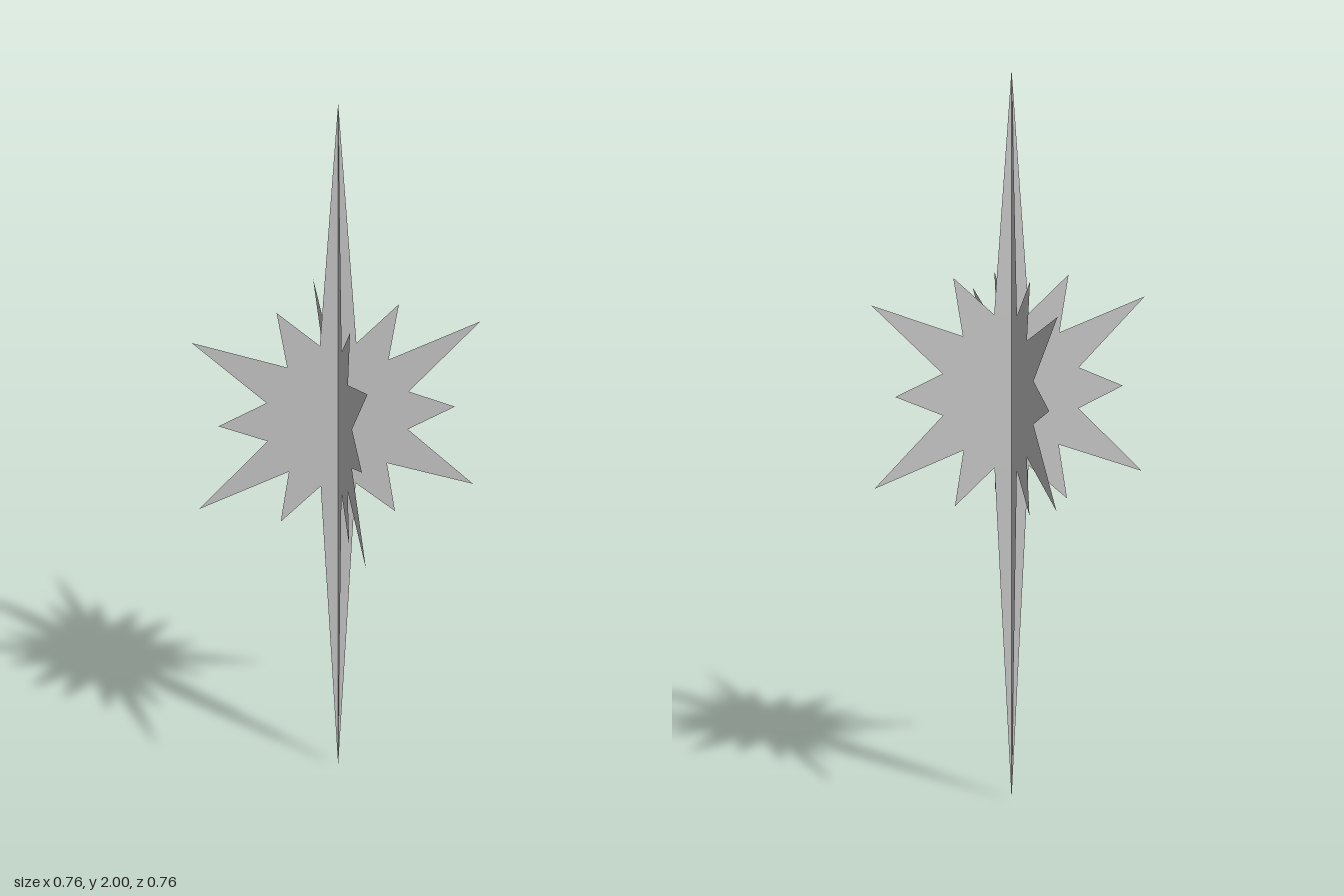
import * as THREE from 'three';

// Right half of the star outline, from top tip to bottom tip (x, y)
const HALF = [
  [0, 2], [0.048, 1.37], [0.159, 1.47], [0.134, 1.316], [0.378, 1.405],
  [0.19, 1.219], [0.318, 1.163], [0.19, 1.107], [0.378, 0.921],
  [0.134, 1.01], [0.159, 0.858], [0.048, 0.957], [0, 0],
];

export function createModel() {
  const group = new THREE.Group();
  group.name = 'starBurst';
  const material = new THREE.MeshStandardMaterial({ color: 0xcccccc, side: THREE.DoubleSide });

  // Mirror the half outline into a full flat star
  const mirrored = HALF.slice(1, -1).reverse().map(([x, y]) => [-x, y]);
  const outline = [...HALF, ...mirrored].map(([x, y]) => new THREE.Vector2(x, y));
  const geometry = new THREE.ShapeGeometry(new THREE.Shape(outline));

  // Two thin star sheets crossing at right angles
  ['frontStarSheet', 'sideStarSheet'].forEach((name, i) => {
    const sheet = new THREE.Mesh(geometry, material);
    sheet.name = name;
    sheet.rotation.y = i * Math.PI / 2;
    group.add(sheet);
  });
  return group;
}
